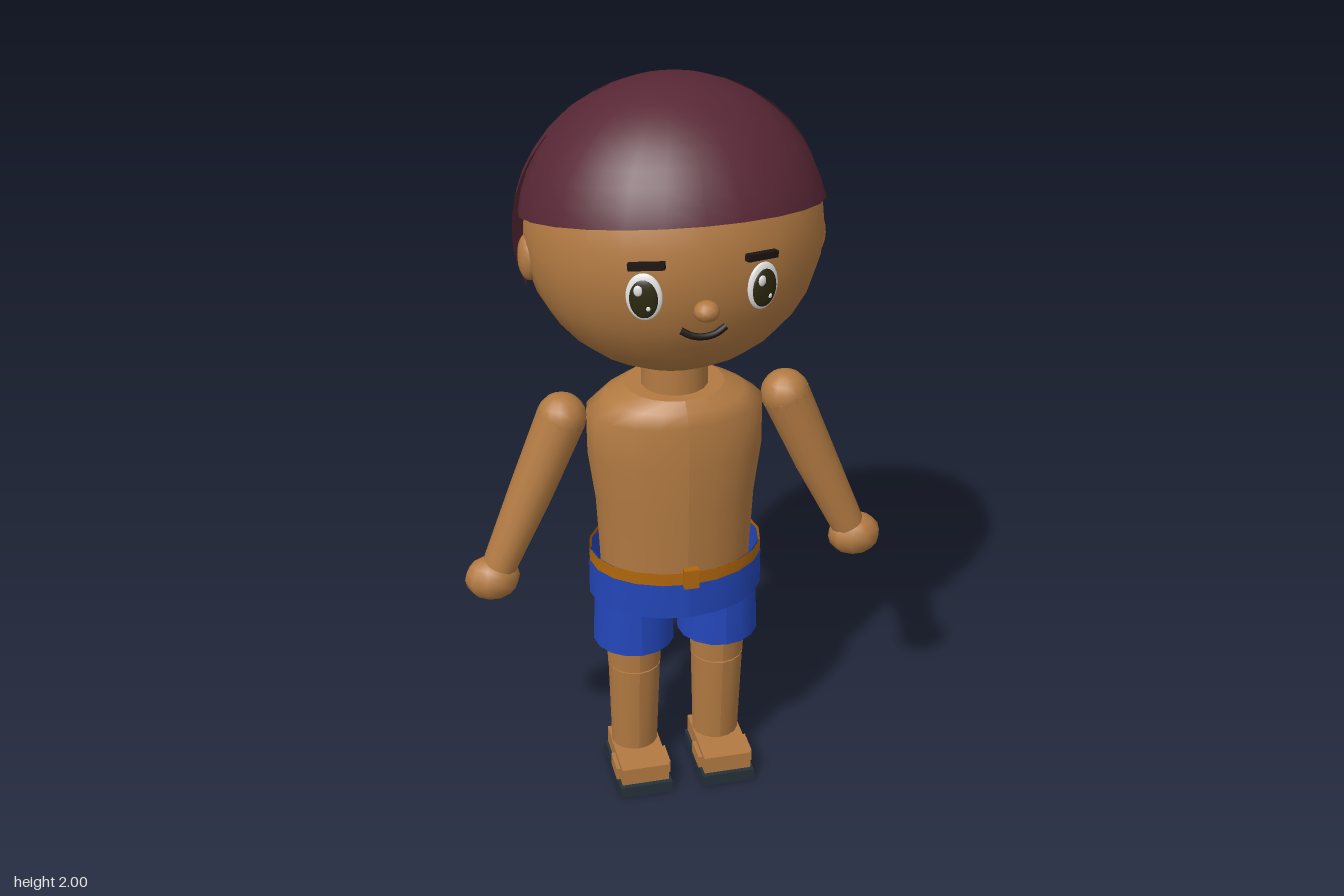
import * as THREE from 'three';
import { ParametricGeometry } from 'three/addons/geometries/ParametricGeometry.js';

const mat = (name, color, side = THREE.FrontSide) => {
  const m = new THREE.MeshStandardMaterial({ color, side });
  m.name = name;
  return m;
};

export function createModel() {
  const root = new THREE.Group();
  root.name = 'swimmer';
  const skin = mat('skin', 0xb27a42);
  const hair = mat('hair', 0x582735, THREE.DoubleSide);
  const blue = mat('shortsBlue', 0x2346b8, THREE.DoubleSide);
  const orange = mat('beltOrange', 0xb0660c, THREE.DoubleSide);
  const sole = mat('soleGrey', 0x25313a);
  const white = mat('eyeWhite', 0xe4e4e4);
  const iris = mat('irisOlive', 0x2c2810);
  const black = mat('browBlack', 0x1c1512);

  const add = (name, geo, material, x = 0, y = 0, z = 0, parent = root) => {
    const m = new THREE.Mesh(geo, material);
    m.name = name;
    m.position.set(x, y, z);
    parent.add(m);
    return m;
  };
  const ball = (rx, ry, rz, w = 20, h = 14) => new THREE.SphereGeometry(1, w, h).scale(rx, ry, rz);

  // Stacked ellipses from top to bottom: [y, rx, rz, centre x, centre z]
  const loft = (rows, sides = 20, open = false) => {
    const n = rows.length - 1;
    const g = new THREE.CylinderGeometry(1, 1, 1, sides, n, open);
    const p = g.attributes.position;
    for (let i = 0; i < p.count; i++) {
      const [y, rx, rz, cx = 0, cz = 0] = rows[Math.round((0.5 - p.getY(i)) * n)];
      p.setXYZ(i, cx + p.getX(i) * rx, y, cz + p.getZ(i) * rz);
    }
    g.computeVertexNormals();
    return g;
  };

  // Tapered limb between two points
  const limb = (name, a, b, ra, rb) => {
    const A = new THREE.Vector3(...a), B = new THREE.Vector3(...b);
    const m = add(name, new THREE.CylinderGeometry(ra, rb, A.distanceTo(B), 14), skin);
    m.position.copy(A).add(B).multiplyScalar(0.5);
    m.quaternion.setFromUnitVectors(new THREE.Vector3(0, 1, 0), A.clone().sub(B).normalize());
  };

  // Head, neck and torso
  add('head', ball(0.375, 0.36, 0.335, 24, 16), skin, 0, 1.62, 0);
  add('neck', new THREE.CylinderGeometry(0.085, 0.088, 0.12, 16), skin, 0, 1.24, 0.008);
  add('torso', loft([
    [1.2, 0.13, 0.122, 0, 0.006], [1.175, 0.185, 0.145, 0, 0.008], [1.14, 0.233, 0.156, 0, 0.01],
    [1.02, 0.232, 0.163, 0, 0.011], [0.88, 0.213, 0.16, 0, 0.011], [0.73, 0.205, 0.155, 0, 0.011],
    [0.6, 0.2, 0.15, 0, 0.011]]), skin);

  // Hair cap, trimmed by a plane that rises towards the forehead
  const CY = 1.62, CZ = -0.01, RY = 0.38, RZ = 0.365, SLOPE = 0.23;
  add('hairCap', new ParametricGeometry((u, v, t) => {
    const phi = u * Math.PI * 2;
    const b = SLOPE * RZ * Math.cos(phi), k = 1.68 + SLOPE * CZ - CY;
    const end = Math.acos(k / Math.hypot(RY, b)) - Math.atan2(b, RY);
    const th = 0.002 + (1 - v) * end;
    t.set(0.386 * Math.sin(th) * Math.sin(phi), CY + RY * Math.cos(th), CZ + RZ * Math.sin(th) * Math.cos(phi));
  }, 24, 10), hair);

  // Longer back hair, ending in a vertical edge behind the ears
  add('backHair', new ParametricGeometry((u, v, t) => {
    const y = 1.475 + v * (1.95 - 1.475);
    const r = Math.sqrt(1 - ((y - CY) / RY) ** 2), rz = 0.369 * r;
    const start = Math.PI / 2 + Math.asin(0.045 / rz);
    const phi = start + u * 2 * (Math.PI - start);
    t.set(0.398 * r * Math.sin(phi), y, CZ + rz * Math.cos(phi));
  }, 20, 10), hair);

  // Nose and mouth
  add('nose', ball(0.032, 0.026, 0.03, 12, 8), skin, 0, 1.547, 0.342);
  const smile = new THREE.CatmullRomCurve3([[-0.055, 1.487, 0.308], [-0.028, 1.474, 0.316],
    [0, 1.47, 0.318], [0.028, 1.474, 0.316], [0.055, 1.487, 0.308]].map(p => new THREE.Vector3(...p)));
  add('mouth', new THREE.TubeGeometry(smile, 16, 0.009, 8), black);

  // Belt and upper shorts
  const band = (y0, y1, rx, rz) => loft([[y1, rx, rz, 0, 0.013], [y0, rx, rz, 0, 0.013]], 20, true);
  add('belt', band(0.69, 0.728, 0.233, 0.182), orange);
  add('shortsLining', band(0.68, 0.724, 0.227, 0.177), blue);
  add('shortsHips', band(0.59, 0.692, 0.235, 0.182), blue);
  add('buckle', new THREE.BoxGeometry(0.04, 0.055, 0.02), orange, 0, 0.718, 0.203);

  for (const s of [1, -1]) {
    const side = s > 0 ? 'left' : 'right';

    // Ear
    add(side + 'Ear', ball(0.027, 0.06, 0.044, 14, 10), skin, s * 0.364, 1.575, -0.003);

    // Eye in layers, turned to follow the face
    const eye = new THREE.Group();
    eye.name = side + 'Eye';
    eye.position.set(s * 0.143, 1.585, 0.311);
    eye.rotation.y = s * 0.38;
    root.add(eye);
    add('eyeball', ball(0.044, 0.06, 0.012), white, 0, 0, 0, eye);
    add('iris', ball(0.035, 0.049, 0.01), iris, 0, -0.003, 0.006, eye);
    add('glint', ball(0.011, 0.014, 0.005, 10, 8), white, -0.012, 0.02, 0.014, eye);
    add('smallGlint', ball(0.006, 0.007, 0.004, 8, 6), white, 0.012, -0.024, 0.013, eye);

    // Eyebrow
    const brow = add(side + 'Brow', new THREE.BoxGeometry(0.088, 0.017, 0.016), black, s * 0.138, 1.664, 0.316);
    brow.rotation.set(0, s * 0.4, -s * 0.1);

    // Arm
    const shoulder = [s * 0.297, 1.13, 0.01], elbow = [s * 0.385, 0.925, 0.018], wrist = [s * 0.478, 0.72, 0.032];
    add(side + 'Shoulder', ball(0.065, 0.065, 0.065, 14, 10), skin, ...shoulder);
    limb(side + 'UpperArm', shoulder, elbow, 0.065, 0.058);
    limb(side + 'Forearm', elbow, wrist, 0.058, 0.046);
    add(side + 'Hand', ball(0.073, 0.06, 0.06, 10, 8), skin, s * 0.498, 0.686, 0.033);

    // Shorts leg
    add(side + 'ShortsLeg', loft([[0.63, 0.104, 0.105, s * 0.117, 0.017],
      [0.44, 0.111, 0.113, s * 0.117, 0.019]], 16, true), blue);

    // Leg in two pieces
    add(side + 'Thigh', loft([[0.64, 0.085, 0.088, s * 0.117, 0.018],
      [0.358, 0.073, 0.075, s * 0.117, 0.02]], 16), skin);
    add(side + 'Shin', loft([[0.354, 0.072, 0.075, s * 0.117, 0.02],
      [0.07, 0.064, 0.062, s * 0.117, 0.013]], 16), skin);

    // Foot and sandal sole
    add(side + 'Foot', new THREE.BoxGeometry(0.132, 0.054, 0.208), skin, s * 0.117, 0.058, 0.06);
    add(side + 'FootStrap', new THREE.BoxGeometry(0.154, 0.036, 0.075), skin, s * 0.117, 0.053, 0.098);
    add(side + 'Sole', new THREE.BoxGeometry(0.146, 0.034, 0.222), sole, s * 0.117, 0.017, 0.066);
  }
  return root;
}
